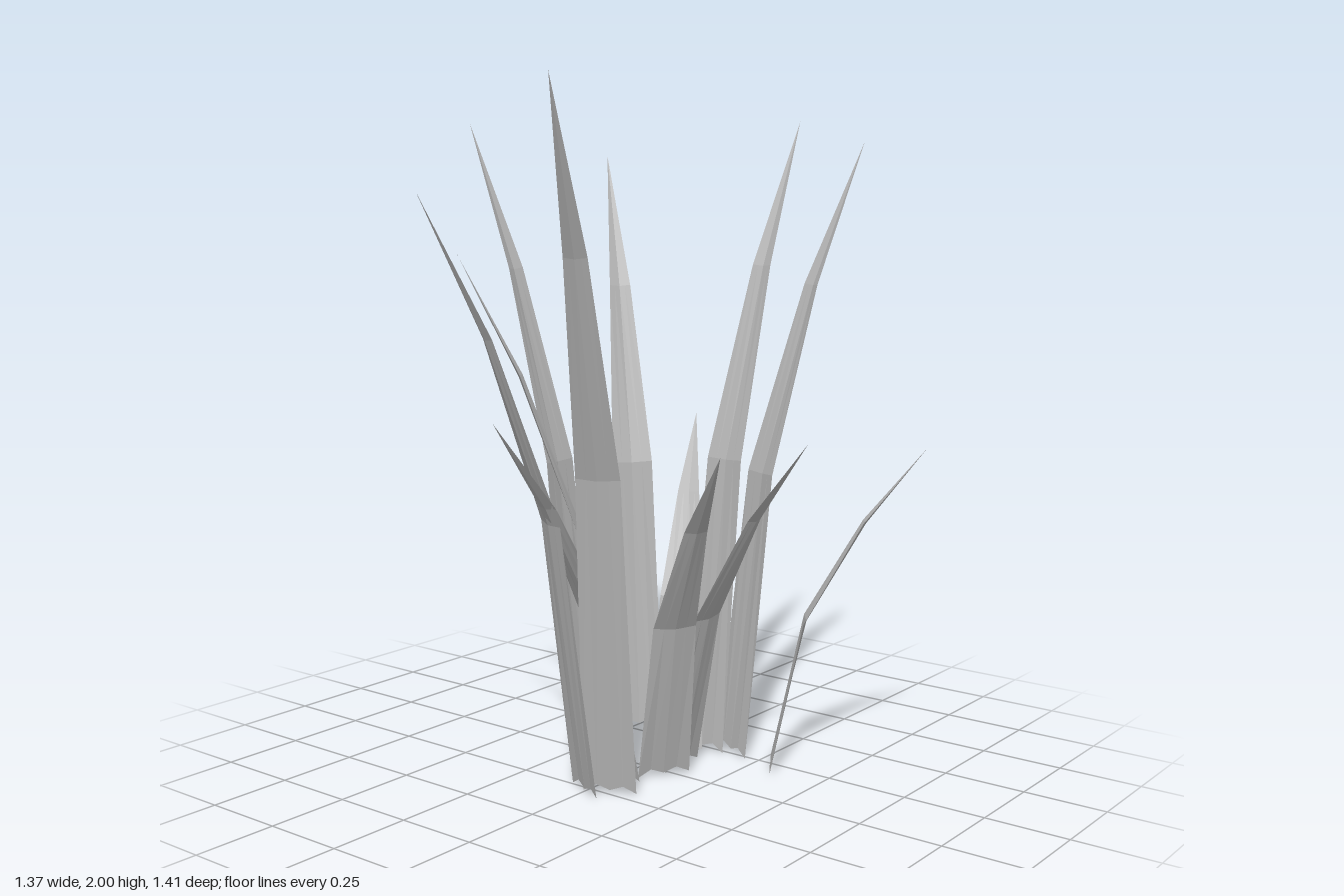
import * as THREE from 'three';

// One tapering, outward-bending blade: base centre, tip and height
function bladeGeometry(bx, bz, tx, tz, height) {
  const dx = tx - bx, dz = tz - bz, len = Math.hypot(dx, dz);
  const px = -dz / len, pz = dx / len; // sideways direction
  // height fraction, reach fraction, half width, depth of the centre fold
  const rows = [[0, 0, 0.08, 0], [0.465, 0.21, 0.065, 0.008], [0.77, 0.59, 0.034, 0.008], [1, 1, 0, 0]];
  const columns = [-1, -0.5, 0, 0.5, 1];
  const notch = [0.005, 0.022, 0.008, 0.022, 0]; // ragged lower edge
  const positions = [], index = [];
  rows.forEach(([h, reach, w, fold], r) => columns.forEach((s, c) => {
    const out = reach * len + fold * (1 - Math.abs(s));
    positions.push(
      bx + dx / len * out + px * s * w,
      h * height + (r === 0 ? notch[c] : -fold * 0.5 * (1 - Math.abs(s))),
      bz + dz / len * out + pz * s * w);
  }));
  const n = columns.length;
  for (let r = 0; r < rows.length - 1; r++) {
    for (let c = 0; c < n - 1; c++) {
      const a = r * n + c, b = a + 1, d = a + n, e = d + 1;
      index.push(a, b, d);
      if (r < rows.length - 2) index.push(b, e, d); // the last row is a point
    }
  }
  const g = new THREE.BufferGeometry();
  g.setAttribute('position', new THREE.Float32BufferAttribute(positions, 3));
  g.setIndex(index);
  const flat = g.toNonIndexed();
  flat.computeVertexNormals();
  return flat;
}

export function createModel() {
  const group = new THREE.Group();
  group.name = 'grassTuft';
  const grey = new THREE.MeshStandardMaterial({ color: 0xb4b4b4, side: THREE.DoubleSide, flatShading: true });
  grey.name = 'grey';

  // Blades around the tuft: base x, base z, tip x, tip z, height
  const blades = [
    [-0.24, -0.285, -0.595, -0.565, 1.83],
    [-0.015, -0.185, -0.24, -0.59, 0.99],
    [0.045, -0.24, 0.073, -0.71, 1.93],
    [0.135, -0.265, 0.313, -0.70, 1.86],
    [0.305, -0.23, 0.685, -0.463, 0.98],
    [0.095, -0.065, 0.525, -0.067, 1.02],
    [0.10, 0.03, 0.47, 0.273, 1.02],
    [0.065, 0.24, 0.24, 0.68, 2.0],
    [0.007, 0.12, -0.045, 0.59, 1.10],
    [0, 0.275, -0.2, 0.705, 1.71],
    [-0.088, 0.04, -0.447, 0.305, 1.53],
    [-0.255, -0.03, -0.685, -0.002, 1.92],
  ];
  blades.forEach((blade, i) => {
    const mesh = new THREE.Mesh(bladeGeometry(...blade), grey);
    mesh.name = `blade${i + 1}`;
    group.add(mesh);
  });
  return group;
}
